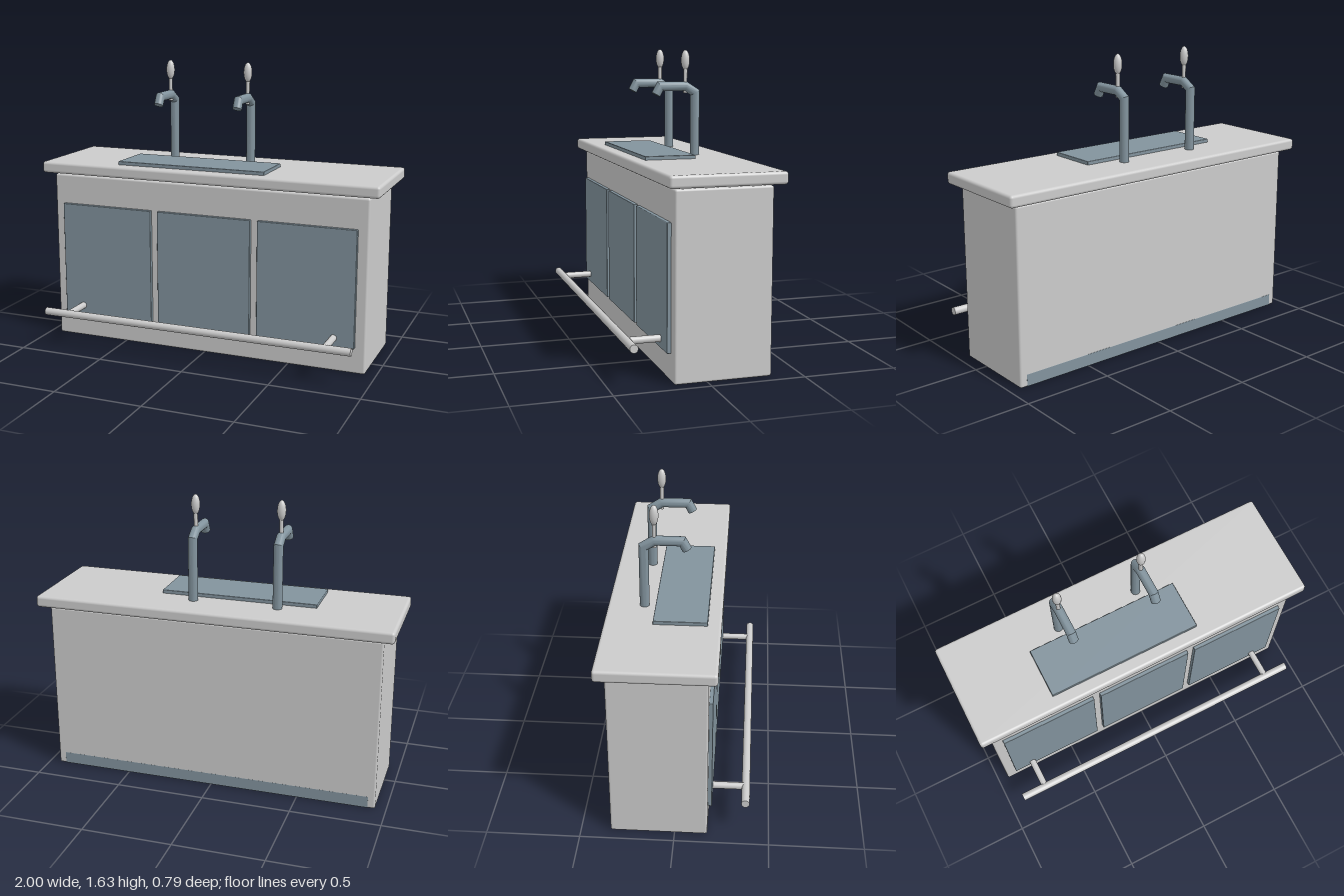
import * as THREE from 'three';
import { toCreasedNormals } from 'three/addons/utils/BufferGeometryUtils.js';
import { RoundedBoxGeometry } from 'three/addons/geometries/RoundedBoxGeometry.js';

const grey = new THREE.MeshStandardMaterial({ color: 0xcccccc });
const steel = new THREE.MeshStandardMaterial({ color: 0x82939d });

function add(parent, name, geometry, material, x = 0, y = 0, z = 0) {
  const mesh = new THREE.Mesh(geometry, material);
  mesh.name = name;
  mesh.position.set(x, y, z);
  parent.add(mesh);
  return mesh;
}

// Box given by its min and max along each axis, with softened edges
function block(parent, name, material, [x0, x1], [y0, y1], [z0, z1], radius) {
  const geometry = new RoundedBoxGeometry(x1 - x0, y1 - y0, z1 - z0, 3, radius);
  return add(parent, name, geometry, material, (x0 + x1) / 2, (y0 + y1) / 2, (z0 + z1) / 2);
}

// Round pipe with mitred corners along a path of [z, y] points, closed at both ends
function mitredPipe(path, radius, sides = 24) {
  const pts = path.map(([z, y]) => new THREE.Vector2(z, y));
  const positions = [];
  const index = [];
  pts.forEach((p, i) => {
    const before = p.clone().sub(pts[Math.max(i - 1, 0)]).normalize();
    const after = pts[Math.min(i + 1, pts.length - 1)].clone().sub(p).normalize();
    const along = before.clone().add(after).normalize();
    const stretch = radius / along.dot(i ? before : after);
    for (let k = 0; k < sides; k++) {
      const a = (k / sides) * Math.PI * 2;
      const s = Math.sin(a) * stretch;
      positions.push(Math.cos(a) * radius, p.y + along.x * s, p.x - along.y * s);
    }
  });
  const last = pts.length - 1;
  for (let i = 0; i < last; i++) {
    for (let k = 0; k < sides; k++) {
      const a = i * sides + k;
      const b = i * sides + ((k + 1) % sides);
      index.push(a, a + sides, b, b, a + sides, b + sides);
    }
  }
  for (let k = 1; k < sides - 1; k++) {
    index.push(0, k, k + 1);
    index.push(last * sides, last * sides + k + 1, last * sides + k);
  }
  const geometry = new THREE.BufferGeometry();
  geometry.setAttribute('position', new THREE.Float32BufferAttribute(positions, 3));
  geometry.setIndex(index);
  // Reverse the winding if the volume came out negative
  let volume = 0;
  const v = (n) => new THREE.Vector3().fromArray(positions, n * 3);
  for (let i = 0; i < index.length; i += 3) {
    volume += v(index[i]).dot(v(index[i + 1]).cross(v(index[i + 2])));
  }
  if (volume < 0) geometry.setIndex(index.reverse());
  return toCreasedNormals(geometry, 0.45);
}

function createTap() {
  const tap = new THREE.Group();
  tap.name = 'tap';
  const path = [[-0.198, 1.045], [-0.198, 1.397], [-0.143, 1.432], [0.004, 1.432], [0.028, 1.387]];
  add(tap, 'spout', mitredPipe(path, 0.026), steel);
  add(tap, 'handleStem', new THREE.CylinderGeometry(0.011, 0.011, 0.135, 16), grey, 0, 1.4625, -0.142);
  const knob = add(tap, 'handleKnob', new THREE.SphereGeometry(1, 20, 14), grey, 0, 1.575, -0.142);
  knob.scale.set(0.024, 0.056, 0.024);
  return tap;
}

export function createModel() {
  const bar = new THREE.Group();
  bar.name = 'barCounter';

  // Cabinet, plinth and worktop
  block(bar, 'cabinet', grey, [-0.94, 0.94], [0, 0.975], [-0.342, 0.174], 0.012);
  block(bar, 'plinth', steel, [-0.9, 0.9], [0.002, 0.07], [-0.3425, 0.12], 0.002);
  block(bar, 'worktop', grey, [-1, 1], [0.985, 1.05], [-0.394, 0.22], 0.016);

  // Front panels
  for (const x of [-0.601, 0, 0.601]) {
    block(bar, 'frontPanel', steel, [x - 0.28, x + 0.28], [0.145, 0.805], [0.17, 0.195], 0.004);
  }

  // Drip tray
  block(bar, 'dripTray', steel, [-0.54, 0.342], [1.046, 1.07], [-0.137, 0.148], 0.004);

  // Foot rail with its two brackets
  const rail = new THREE.Group();
  rail.name = 'footRail';
  bar.add(rail);
  add(rail, 'railBar', new THREE.CylinderGeometry(0.022, 0.022, 1.824, 24), grey, 0, 0.195, 0.372)
    .rotation.z = Math.PI / 2;
  for (const side of [-1, 1]) {
    add(rail, 'railBracket', new THREE.CylinderGeometry(0.019, 0.019, 0.2, 20), grey, side * 0.765, 0.195, 0.27)
      .rotation.x = Math.PI / 2;
  }

  // Beer taps
  for (const x of [-0.337, 0.14]) {
    const tap = createTap();
    tap.position.x = x;
    bar.add(tap);
  }
  return bar;
}
